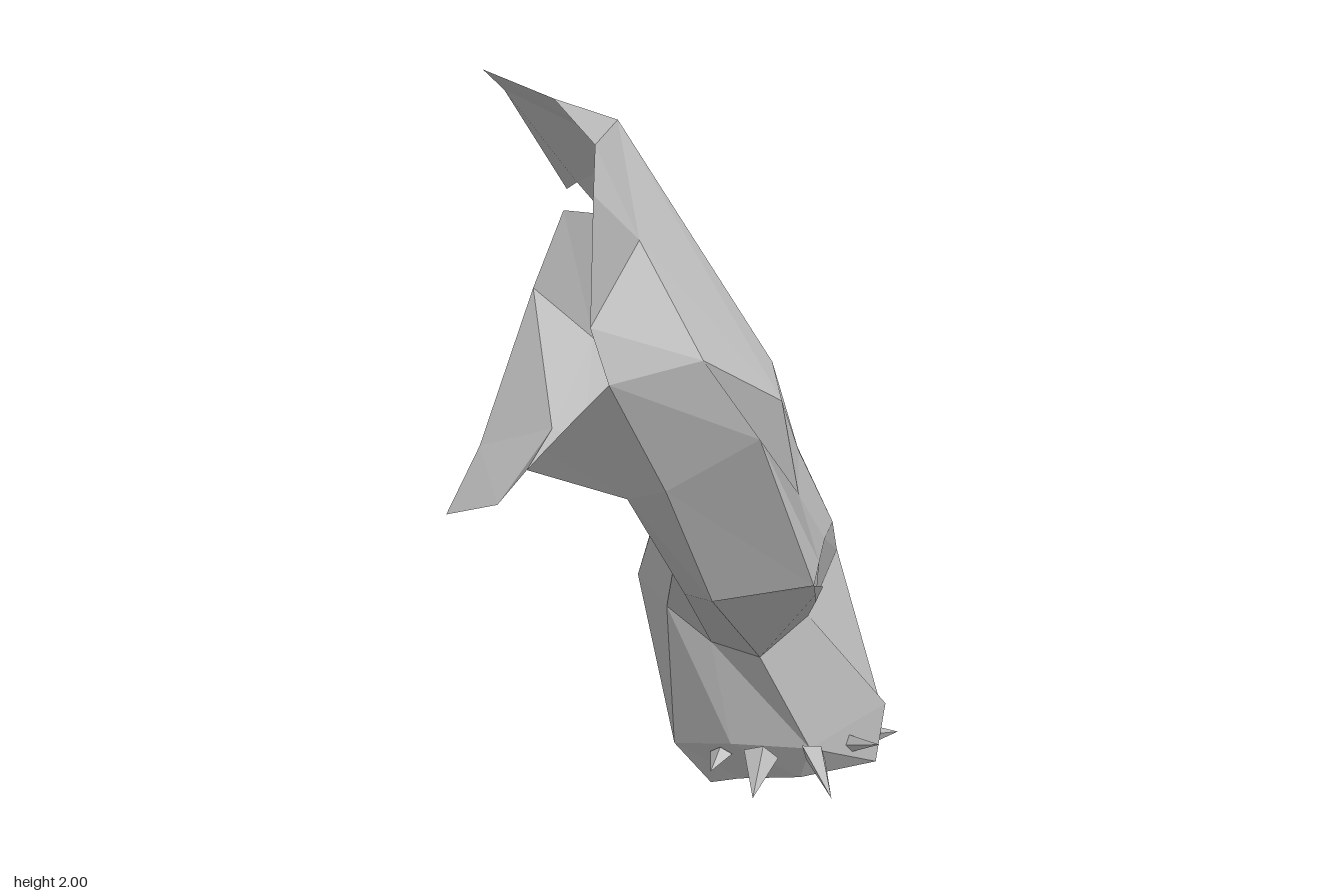
import * as THREE from 'three';

const hide = new THREE.MeshStandardMaterial({ color: 0xb8b8b8, side: THREE.DoubleSide, flatShading: true });
hide.name = 'grey hide';

// Joins successive cross-sections (arrays of [x, y, z]) into a faceted skin.
function skin(name, rows, closed = false, cap = false) {
  const pos = [];
  const tri = (a, b, c) => {
    const [A, B, C] = [a, b, c].map((p) => new THREE.Vector3(...p));
    if (new THREE.Triangle(A, B, C).getArea() > 1e-6) pos.push(...a, ...b, ...c);
  };
  for (let r = 0; r < rows.length - 1; r++) {
    const up = rows[r], low = rows[r + 1], n = up.length;
    for (let i = 0; i < (closed ? n : n - 1); i++) {
      const j = (i + 1) % n;
      tri(up[i], low[i], low[j]);
      tri(up[i], low[j], up[j]);
    }
  }
  if (cap) {
    const end = rows[rows.length - 1];
    for (let i = 1; i < end.length - 1; i++) tri(end[0], end[i + 1], end[i]);
  }
  const g = new THREE.BufferGeometry();
  g.setAttribute('position', new THREE.Float32BufferAttribute(pos, 3));
  g.computeVertexNormals();
  const mesh = new THREE.Mesh(g, hide);
  mesh.name = name;
  return mesh;
}

// Slim claw from a base point to a sharp tip.
function claw(base, tip, radius) {
  const a = new THREE.Vector3(...base), b = new THREE.Vector3(...tip);
  const dir = b.clone().sub(a);
  const g = new THREE.ConeGeometry(radius, dir.length(), 4).scale(1, 1, 0.6);
  const mesh = new THREE.Mesh(g, hide);
  mesh.position.copy(a).add(b).multiplyScalar(0.5);
  mesh.quaternion.setFromUnitVectors(new THREE.Vector3(0, 1, 0), dir.normalize());
  mesh.name = 'claw';
  return mesh;
}

export function createModel() {
  const leg = new THREE.Group();
  leg.name = 'hindLeg';

  // Thigh sections run from the open front edge, round the outside, to the back
  const hipEdge = [[0.05, 1.86, 0.64], [0, 1.95, 0.51], [-0.25, 1.95, 0.19],
    [-0.45, 2, 0.18], [-0.45, 1.905, 0.04], [-0.45, 1.52, -0.37]];
  const hip = [[0.05, 1.51, 0.66], [0.11, 1.7, 0.48], [-0.085, 1.905, 0.16],
    [-0.1, 1.86, 0.09], [-0.145, 1.73, -0.1], [-0.35, 1.6, -0.2]];
  const thigh = [[0.11, 1.37, 0.68], [0.3, 1.41, 0.51], [0.42, 1.25, 0.28],
    [0.33, 1.3, 0.13], [0.025, 1.55, -0.05], [-0.29, 1.51, -0.24]];
  const lowThigh = [[0.2, 1.05, 0.52], [0.41, 1.18, 0.4], [0.432, 0.98, 0.2],
    [0.375, 1.05, 0.065], [0.28, 1.08, -0.07], [0.165, 1.1, -0.145],
    [-0.1, 1.04, -0.17], [-0.07, 1.0, -0.04], [-0.03, 0.95, 0.1],
    [0.025, 0.98, 0.3], [0.085, 1.01, 0.5]];
  leg.add(skin('thigh', [hipEdge, hip, thigh, lowThigh.slice(0, 6)]));
  const rump = [-0.45, 1.7, -0.21];
  leg.add(skin('rumpEdge', [[hipEdge[4], hipEdge[5]], [rump, rump]]));

  // Back of the thigh, turning inwards
  const groinBack = [-0.28, 1.21, -0.14];
  leg.add(skin('thighBack', [[thigh[5], groinBack], [lowThigh[5], lowThigh[6]]]));
  leg.add(skin('groinCorner', [[[-0.4, 1.51, -0.23], [-0.45, 1.32, -0.15]], [thigh[5], groinBack]]));

  // Inner flap that spreads towards the body
  const flapFront = [-0.21, 1.04, 0.46];
  leg.add(skin('innerFlap', [
    [[-0.45, 1.32, -0.15], [-0.45, 1.0, 0.2], [-0.45, 0.88, 0.42]],
    [groinBack, [-0.25, 1.07, 0.2], [-0.3, 0.93, 0.44]],
    [[-0.19, 1.125, -0.155], [-0.17, 1.04, 0.18], flapFront],
    [lowThigh[6], lowThigh[8], lowThigh[10]]]));

  // Front of the thigh between the open edge and the flap
  const inner = lowThigh[10];
  leg.add(skin('thighFront', [
    [thigh[0], [0, 1.26, 0.6], [-0.145, 1.11, 0.5], flapFront],
    [lowThigh[0], inner, inner, inner]]));

  // Knee and shank, sweeping back to the hock
  const knee = [[0.24, 0.7, 0.31], [0.445, 0.715, 0.13], [0.432, 0.757, 0.065],
    [0.42, 0.8, 0], [0.37, 0.79, -0.17], [0.14, 0.92, -0.36],
    [-0.09, 0.89, -0.36], [-0.14, 0.82, -0.3], [-0.13, 0.76, -0.22],
    [0.05, 0.74, 0.1], [0.125, 0.68, 0.22]];
  const hock = [[0.135, 0.375, -0.25], [0.34, 0.61, -0.18], [0.275, 0.53, -0.285],
    [0.21, 0.455, -0.39], [0.2, 0.57, -0.6], [0.11, 0.69, -0.63],
    [-0.115, 0.7, -0.62], [-0.21, 0.62, -0.57], [-0.27, 0.5, -0.41],
    [-0.11, 0.49, -0.22], [0, 0.4, -0.25]];
  leg.add(skin('shank', [lowThigh, knee, hock], true));

  // Underside lip where the shank overhangs the foot
  leg.add(skin('shankLip', [[hock[0], hock[0]], [hock[1], hock[3]]]));

  // Foot, from the hock down to the sole
  leg.add(skin('foot', [
    [10, 0, 3, 4, 5, 6, 7, 8, 9].map((i) => hock[i]),
    [[0.05, 0.13, -0.26], [0.24, 0.12, -0.33], [0.36, 0.195, -0.54], [0.32, 0.2, -0.585],
      [0.065, 0.19, -0.685], [0, 0.2, -0.665], [-0.1, 0.22, -0.61], [-0.185, 0.28, -0.42],
      [-0.11, 0.11, -0.27]],
    [[0.05, 0.02, -0.32], [0.2, 0.03, -0.36], [0.35, 0.05, -0.5], [0.3, 0.06, -0.57],
      [0.1, 0.06, -0.58], [0.05, 0.06, -0.57], [0, 0.05, -0.55], [-0.05, 0.03, -0.45],
      [-0.03, 0, -0.32]],
  ], true, true));

  // Claws
  [[[0.02, 0.1, -0.27], [0.02, 0.07, -0.2], 0.03],
    [[0.13, 0.11, -0.27], [0.17, 0.04, -0.12], 0.045],
    [[0.25, 0.11, -0.33], [0.35, 0.035, -0.21], 0.045],
    [[0.3, 0.11, -0.44], [0.39, 0.12, -0.43], 0.025],
    [[0.32, 0.11, -0.53], [0.39, 0.12, -0.55], 0.025],
  ].forEach((c) => leg.add(claw(...c)));

  return leg;
}
